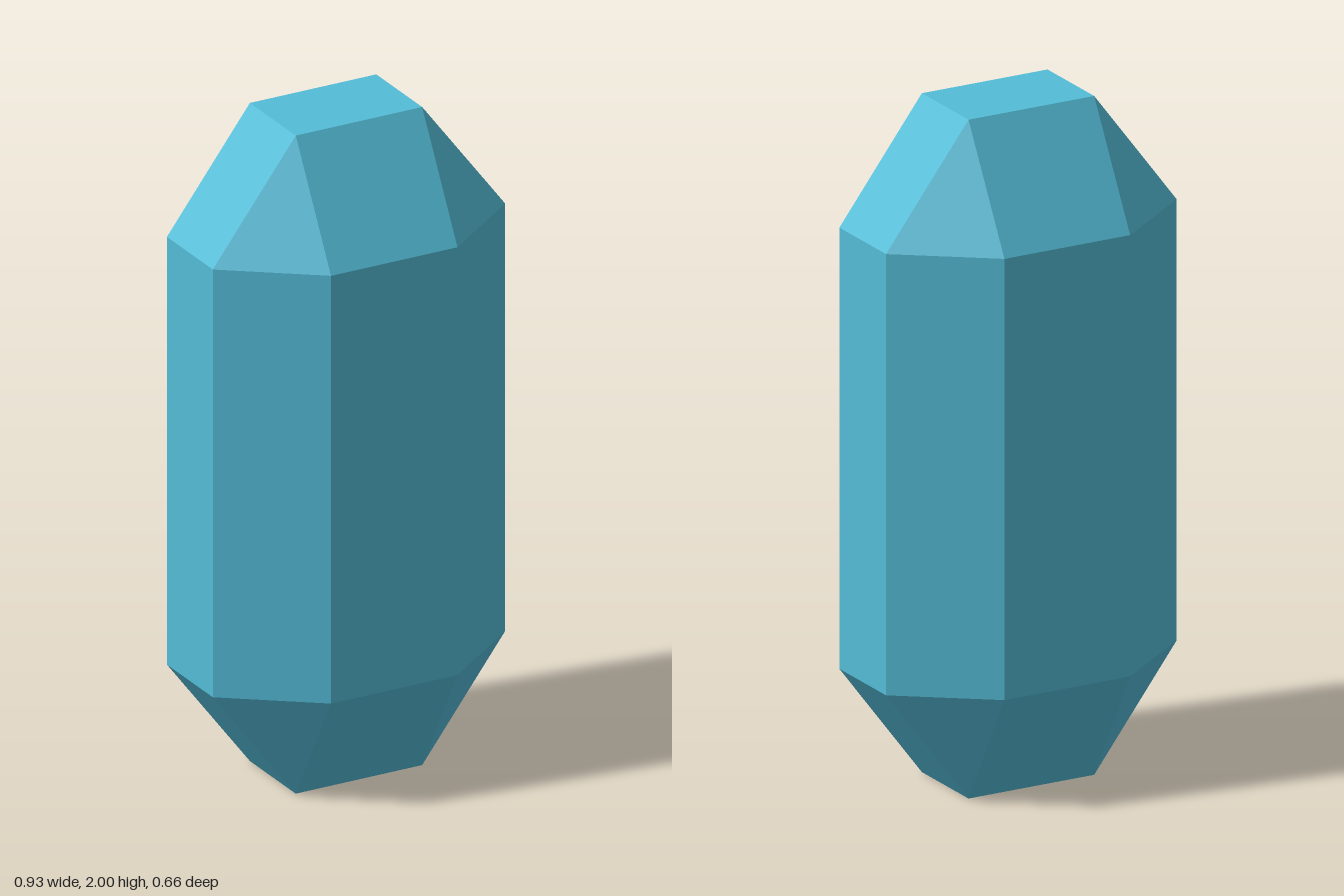
import * as THREE from 'three';
import { ConvexGeometry } from 'three/addons/geometries/ConvexGeometry.js';

export function createModel() {
  const group = new THREE.Group();
  group.name = 'crystal';

  const crystalBlue = new THREE.MeshStandardMaterial({ color: 0x54bcd7, flatShading: true });
  crystalBlue.name = 'crystalBlue';

  // Half sizes of the small end facet and of the eight-sided shaft
  const endX = 0.202, endZ = 0.13;
  const shaftX = 0.467, shaftZ = 0.33;
  const height = 2, bevel = 0.35;

  // Corners mirrored across all three axes
  const points = [];
  for (const sx of [-1, 1]) {
    for (const sz of [-1, 1]) {
      for (const top of [false, true]) {
        const endY = top ? height : 0;
        const shaftY = top ? height - bevel : bevel;
        points.push(
          new THREE.Vector3(sx * endX, endY, sz * endZ),
          new THREE.Vector3(sx * shaftX, shaftY, sz * endZ),
          new THREE.Vector3(sx * endX, shaftY, sz * shaftZ)
        );
      }
    }
  }

  // Faceted gem body with bevelled ends
  const gem = new THREE.Mesh(new ConvexGeometry(points), crystalBlue);
  gem.name = 'gemBody';
  group.add(gem);

  return group;
}
